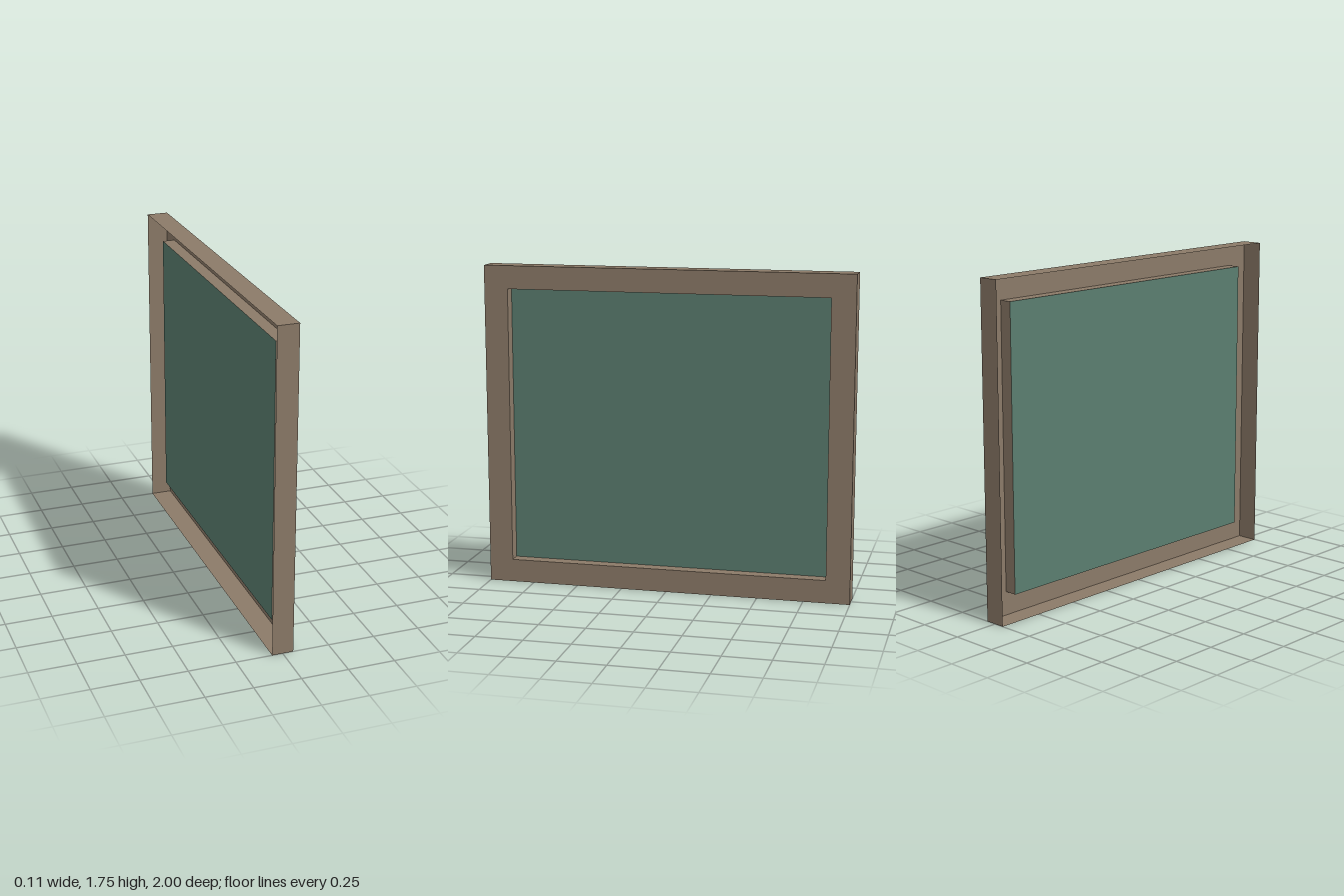
import * as THREE from 'three';

export function createModel() {
  const model = new THREE.Group();
  const frameMat = new THREE.MeshStandardMaterial({ name: 'brown frame', color: 0x8b7a68, side: THREE.DoubleSide });
  const panelMat = new THREE.MeshStandardMaterial({ name: 'green panel', color: 0x5a7d6f, side: THREE.DoubleSide });

  const W = 2, H = 1.75, cy = H / 2;        // outer size along z and y
  const w = 1.74, h = 1.5;                  // opening size
  const front = 0.057, back = -0.057, panelX = -0.01;

  const add = (parent, name, geo, mat) => {
    const mesh = new THREE.Mesh(geo, mat);
    mesh.name = name;
    parent.add(mesh);
    return mesh;
  };

  const rect = (target, a, b) => {
    target.moveTo(-a / 2, -b / 2);
    target.lineTo(a / 2, -b / 2);
    target.lineTo(a / 2, b / 2);
    target.lineTo(-a / 2, b / 2);
    target.closePath();
    return target;
  };

  // Flat front border with a rectangular opening, facing +x
  const border = rect(new THREE.Shape(), W, H);
  border.holes.push(rect(new THREE.Path(), w, h));
  const face = add(model, 'frameFace', new THREE.ShapeGeometry(border).rotateY(Math.PI / 2), frameMat);
  face.position.set(front, cy, 0);

  // Four thin walls around a rectangle, from x0 to x1
  const walls = (name, a, b, x0, x1) => {
    const group = new THREE.Group();
    group.name = name;
    group.position.set((x0 + x1) / 2, cy, 0);
    const d = x1 - x0;
    for (const s of [1, -1]) {
      const level = new THREE.PlaneGeometry(d, a).rotateX(-s * Math.PI / 2).translate(0, s * b / 2, 0);
      add(group, s > 0 ? 'topWall' : 'bottomWall', level, frameMat);
      const side = new THREE.PlaneGeometry(d, b);
      if (s < 0) side.rotateY(Math.PI);
      add(group, s > 0 ? 'frontWall' : 'backWall', side.translate(0, 0, s * a / 2), frameMat);
    }
    model.add(group);
  };
  walls('outerRim', W, H, back, front);       // open at the back
  walls('openingRim', w, h, panelX, front);   // holds the panel

  // Recessed panel, seen from both sides
  const panel = add(model, 'panel', new THREE.PlaneGeometry(w, h).rotateY(Math.PI / 2), panelMat);
  panel.position.set(panelX, cy, 0);

  return model;
}
